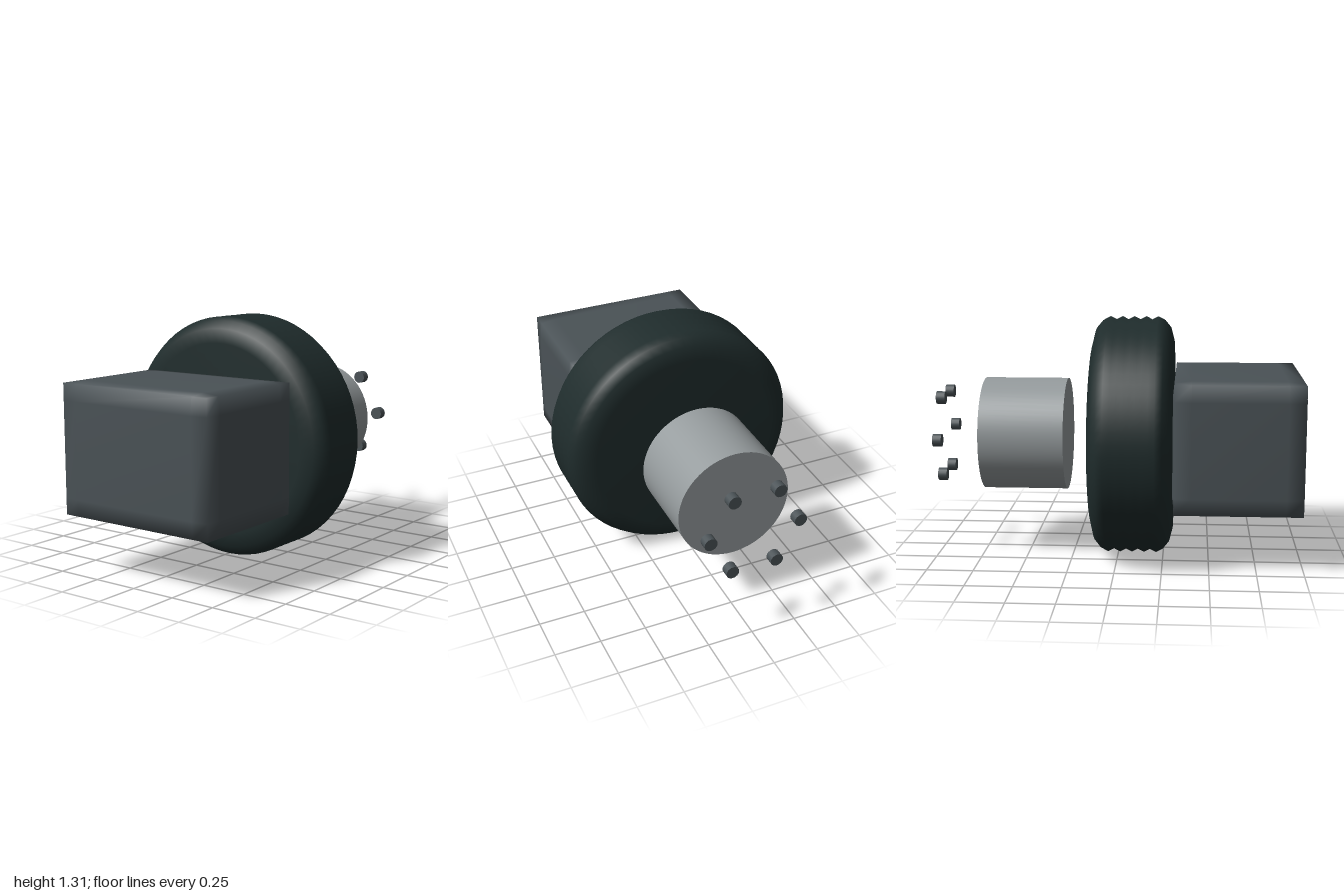
import * as THREE from 'three';
import { mergeVertices } from 'three/addons/utils/BufferGeometryUtils.js';

const mat = (name, color) => {
  const m = new THREE.MeshStandardMaterial({ color });
  m.name = name;
  return m;
};

// Box with support loops near its edges; edges are pulled in a little and shaded softly
function softBox(w, h, d, margin, pull) {
  const g = new THREE.BoxGeometry(w, h, d, 3, 3, 3);
  g.deleteAttribute('normal');
  g.deleteAttribute('uv');
  const half = [w / 2, h / 2, d / 2];
  const p = g.attributes.position;
  for (let i = 0; i < p.count; i++) {
    const v = [p.getX(i), p.getY(i), p.getZ(i)];
    const outer = v.map((c, k) => Math.abs(c) > half[k] - 1e-4);
    const onEdge = outer.filter(Boolean).length > 1;
    p.setXYZ(i, ...v.map((c, k) =>
      Math.sign(c) * (outer[k] ? half[k] - (onEdge ? pull : 0) : half[k] - margin)));
  }
  const merged = mergeVertices(g, 1e-4);
  merged.computeVertexNormals();
  return merged;
}

export function createModel() {
  const model = new THREE.Group();
  const casing = mat('dark slate grey', 0x4a5256);
  const rubber = mat('black green', 0x1f2c2c);
  const metal = mat('light metal grey', 0x959b9d);
  const axisY = 0.66;

  const add = (name, geometry, material, x, y, z) => {
    const mesh = new THREE.Mesh(geometry, material);
    mesh.name = name;
    mesh.position.set(x, y, z);
    model.add(mesh);
    return mesh;
  };

  // Front housing
  add('housing', softBox(0.95, 0.71, 0.7, 0.1, 0.01), casing, 0, axisY, 0.65);

  // Grooved wheel: shoulder, ridges and grooves, mirrored shoulder
  const shoulder = [[0, 0.222], [0.52, 0.222], [0.595, 0.203], [0.635, 0.17]];
  const profile = shoulder.map(([r, z]) => [r, -z]);
  for (let i = 0; i < 9; i++) profile.push([i % 2 ? 0.638 : 0.655, -0.132 + i * 0.033]);
  profile.push(...shoulder.reverse());
  const wheel = new THREE.LatheGeometry(profile.map(([r, z]) => new THREE.Vector2(r, z)), 64);
  wheel.rotateX(Math.PI / 2);
  add('wheel', wheel, rubber, 0, axisY, 0.08);

  // Hub drum
  const drum = new THREE.CylinderGeometry(0.31, 0.31, 0.46, 64).rotateX(Math.PI / 2);
  add('hub', drum, metal, 0, axisY, -0.517);

  // Ring of bolts
  const bolt = new THREE.CylinderGeometry(0.035, 0.035, 0.048, 16).rotateX(Math.PI / 2);
  for (let i = 0; i < 6; i++) {
    const a = i * Math.PI / 3;
    add('bolt', bolt, casing, 0.248 * Math.cos(a), axisY + 0.248 * Math.sin(a), -0.976);
  }
  return model;
}
